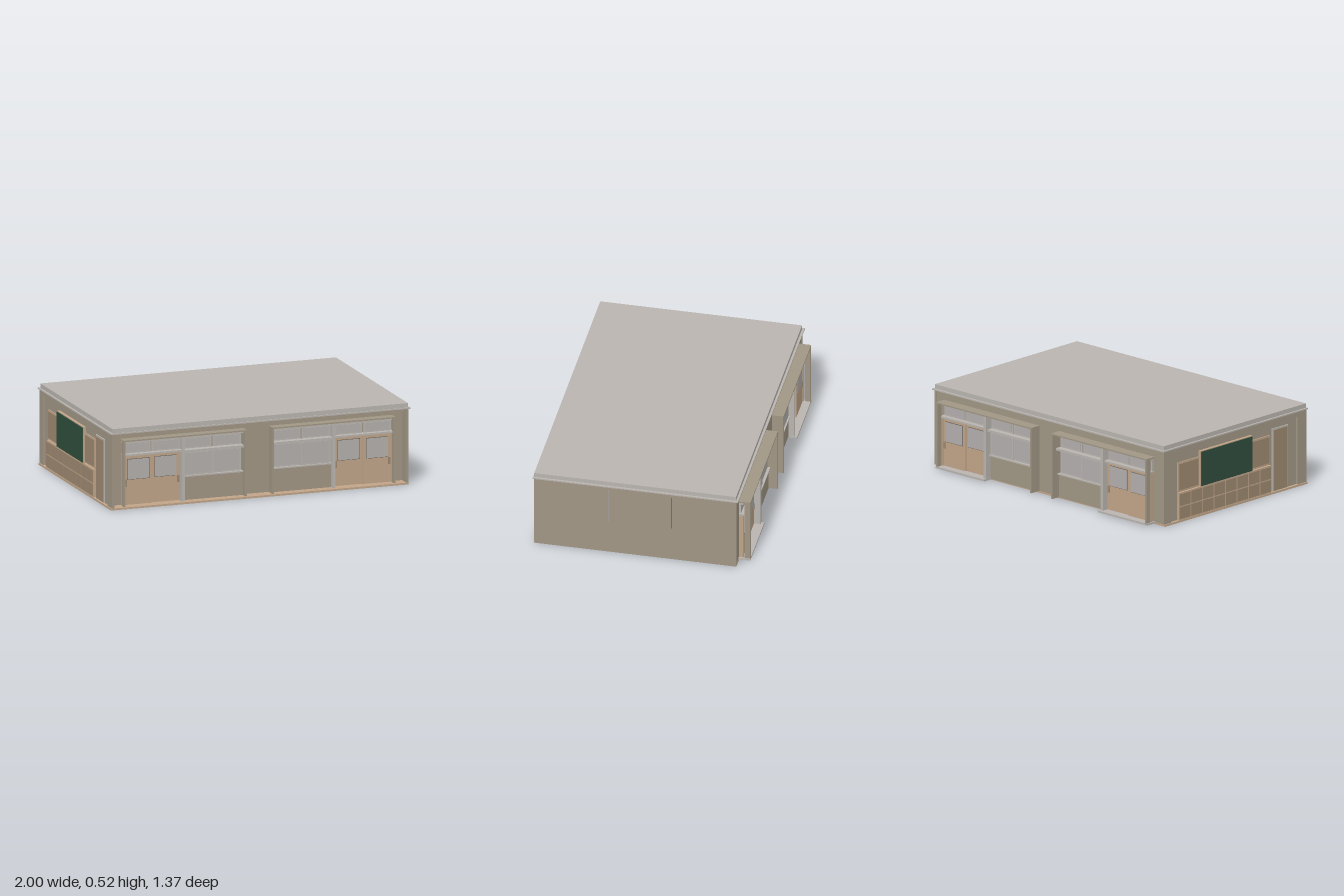
import * as THREE from 'three';

const material = (name, color) => {
  const m = new THREE.MeshStandardMaterial({ color });
  m.name = name;
  return m;
};

export function createModel() {
  const wall = material('taupe wall', 0xa09684);
  const grey = material('light grey metal', 0xb9b4af);
  const glass = material('grey glass', 0xb3afad);
  const wood = material('pale wood', 0xc0a488);
  const cork = material('brown cabinet', 0x9c8870);
  const green = material('green board', 0x2f4d3c);
  const dark = material('dark handle', 0x6a645c);

  const model = new THREE.Group();
  model.name = 'classroomBuilding';

  // Box given by its limits on each axis
  const box = (parent, name, mat, x0, x1, y0, y1, z0, z1) => {
    const mesh = new THREE.Mesh(
      new THREE.BoxGeometry(Math.abs(x1 - x0), y1 - y0, Math.abs(z1 - z0)), mat);
    mesh.position.set((x0 + x1) / 2, (y0 + y1) / 2, (z0 + z1) / 2);
    mesh.name = name;
    parent.add(mesh);
    return mesh;
  };

  // Shell: floor, walls, roof
  box(model, 'floor', wood, -0.995, 0.983, 0, 0.012, -0.612, 0.68);
  box(model, 'mainWalls', wall, -0.975, 0.984, 0.012, 0.488, -0.61, 0.605);
  box(model, 'rightEndWall', wall, 0.972, 0.985, 0, 0.488, -0.612, 0.68);
  box(model, 'leftEndWall', wall, -0.985, -0.972, 0.012, 0.488, 0.6, 0.68);
  box(model, 'frontLintel', wall, -0.975, 0.975, 0.455, 0.488, 0.6, 0.625);
  box(model, 'roofLedge', grey, -0.997, 0.997, 0.486, 0.494, -0.625, 0.685);
  box(model, 'roofSlab', grey, -0.984, 0.984, 0.494, 0.522, -0.61, 0.678);

  // One bay (doors at the outer end, windows toward the middle).
  // sx and sz mirror it; base is the wall plane, depth the hood projection.
  const bay = (sx, sz, base, depth) => {
    const g = new THREE.Group();
    g.name = (sz > 0 ? 'front' : 'back') + (sx > 0 ? 'Left' : 'Right') + 'Bay';
    model.add(g);
    const part = (name, mat, x0, x1, y0, y1, d0, d1) =>
      box(g, name, mat, sx * x0, sx * x1, y0, y1, sz * (base + d0), sz * (base + d1));

    // Hood and upright fins
    part('hood', wall, 0.085, 0.905, 0.428, 0.437, 0, depth);
    part('innerFin', wall, 0.085, 0.097, 0.012, 0.43, 0, depth);
    part('outerFin', wall, 0.893, 0.905, 0.012, 0.43, depth * 0.5, depth);
    part('middleFin', grey, 0.492, 0.512, 0.012, 0.43, 0, depth * 0.75);
    part('hoodFrame', grey, 0.097, 0.9, 0.412, 0.428, 0, 0.03);
    part('outerJamb', wood, 0.89, 0.9, 0.012, 0.335, 0, 0.03);

    // Ledge below the high windows
    part('transomLedge', grey, 0.097, 0.492, 0.322, 0.337, 0, 0.042);
    part('transomLedge', grey, 0.512, 0.9, 0.33, 0.342, 0, 0.042);

    // High windows
    for (const [x0, x1] of [[0.105, 0.292], [0.302, 0.487], [0.517, 0.7], [0.71, 0.893]]) {
      part('highWindowFrame', grey, x0, x1, 0.34, 0.413, 0, 0.012);
      part('highWindowGlass', glass, x0 + 0.01, x1 - 0.01, 0.35, 0.404, 0.012, 0.014);
    }

    // Low windows above a solid panel
    part('lowPanel', wall, 0.097, 0.492, 0.012, 0.162, 0, 0.018);
    part('windowSill', grey, 0.097, 0.492, 0.162, 0.17, 0, 0.03);
    [[0.105, 0.3], [0.292, 0.487]].forEach(([x0, x1], i) => {
      const d = i * 0.008;
      part('windowFrame', grey, x0, x1, 0.17, 0.322, 0, 0.012 + d);
      part('windowGlass', glass, x0 + 0.01, x1 - 0.01, 0.18, 0.313, 0.012 + d, 0.014 + d);
    });

    // Pair of sliding doors with glazing and handles
    [[0.512, 0.708, 0.525], [0.7, 0.89, 0.877]].forEach(([x0, x1, hx], i) => {
      const d = 0.014 + i * 0.01;
      const mid = (x0 + x1) / 2;
      part('slidingDoor', wood, x0, x1, 0.015, 0.33, 0, d);
      part('doorWindowFrame', dark, mid - 0.074, mid + 0.074, 0.176, 0.309, d, d + 0.003);
      part('doorWindow', glass, mid - 0.071, mid + 0.071, 0.179, 0.306, d + 0.003, d + 0.005);
      part('doorHandle', cork, hx - 0.007, hx + 0.007, 0.13, 0.175, d, d + 0.004);
    });

    // Threshold step outside the back doors
    if (sz < 0) part('doorStep', grey, 0.49, 0.91, 0.006, 0.018, 0, depth);
  };
  for (const sx of [1, -1]) {
    bay(sx, 1, 0.605, 0.06);
    bay(sx, -1, 0.61, 0.075);
  }

  // Left end: corner posts and trims
  for (const [z0, z1] of [[-0.612, -0.55], [0.6, 0.68]])
    box(model, 'cornerPost', wall, -0.988, -0.972, 0.012, 0.488, z0, z1);
  box(model, 'upperTrim', wall, -0.985, -0.972, 0.45, 0.488, -0.56, 0.61);

  // Left end: low cabinets in two rows
  box(model, 'cabinetBody', wood, -0.992, -0.97, 0.012, 0.19, -0.48, 0.355);
  const step = 0.835 / 8;
  for (let col = 0; col < 8; col++)
    for (let row = 0; row < 2; row++) {
      const z = -0.48 + col * step, y = 0.02 + row * 0.085;
      box(model, 'cabinetDoor', cork, -0.996, -0.992, y, y + 0.077, z + 0.005, z + step - 0.005);
    }

  // Left end: board with pin boards on both sides
  box(model, 'boardFrame', wood, -0.994, -0.97, 0.19, 0.422, -0.288, 0.183);
  box(model, 'board', green, -1, -0.994, 0.195, 0.417, -0.283, 0.178);
  for (const [z0, z1] of [[-0.48, -0.288], [0.183, 0.355]]) {
    box(model, 'pinBoardFrame', wood, -0.982, -0.97, 0.195, 0.385, z0, z1);
    box(model, 'pinBoard', cork, -0.986, -0.982, 0.205, 0.375, z0 + 0.01, z1 - 0.01);
  }

  // Left end: side door
  box(model, 'sideDoorFrame', grey, -0.982, -0.97, 0.012, 0.42, 0.375, 0.52);
  box(model, 'sideDoor', cork, -0.986, -0.982, 0.015, 0.41, 0.385, 0.51);

  // Right end: slim edges of a board set in the wall
  box(model, 'boardEdgeFront', grey, 0.984, 0.999, 0.24, 0.46, 0.2, 0.203);
  box(model, 'boardEdgeBack', green, 0.984, 0.999, 0.24, 0.46, -0.203, -0.2);

  return model;
}
